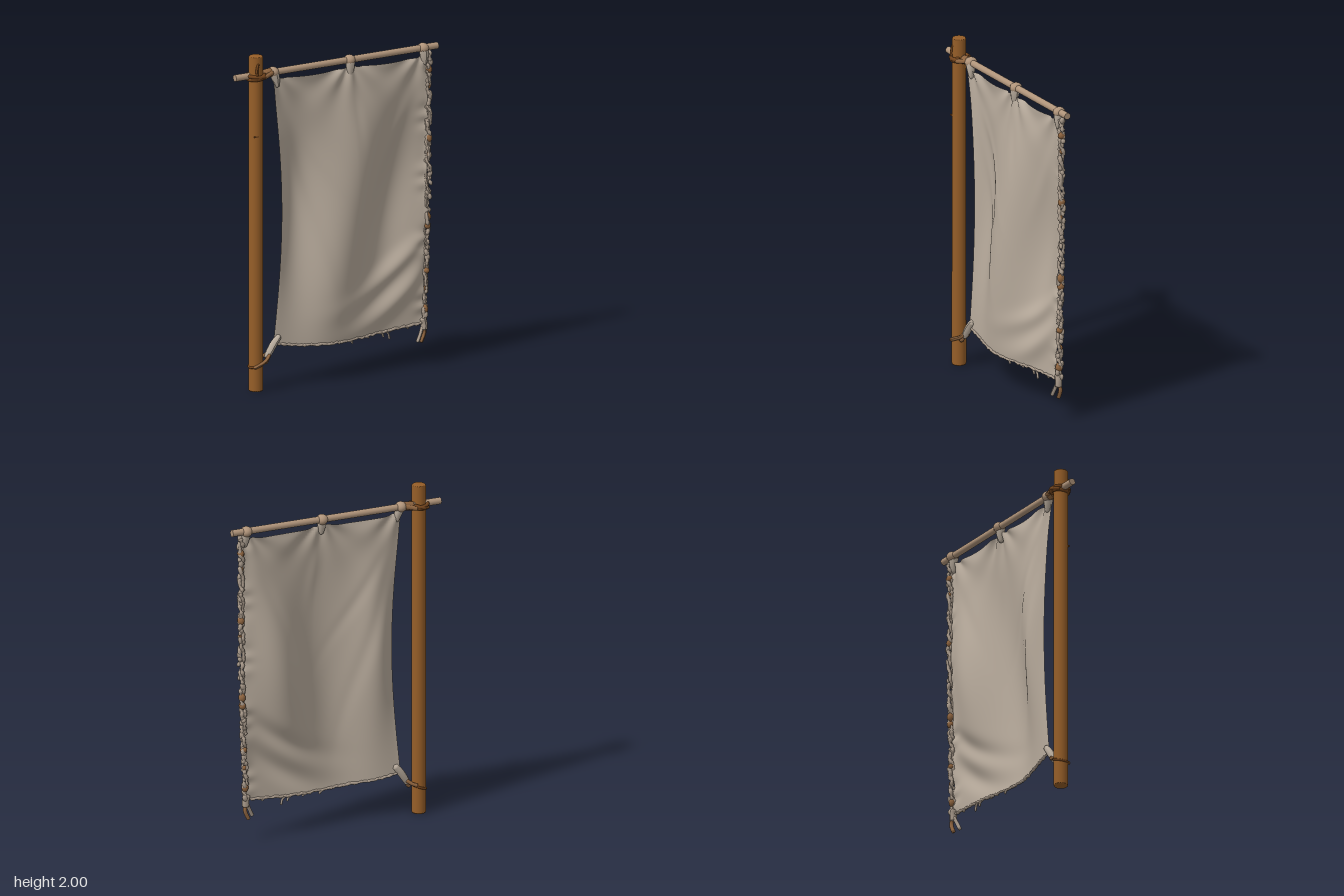
import * as THREE from 'three';

const mat = (name, color, side = THREE.FrontSide) => {
  const m = new THREE.MeshStandardMaterial({ color, side });
  m.name = name;
  return m;
};
const V = (x, y, z) => new THREE.Vector3(x, y, z);
const gauss = (d, w) => Math.exp(-(d * d) / (w * w));
const lerp = THREE.MathUtils.lerp;

function seeded(seed) {
  return () => {
    seed = (seed * 16807) % 2147483647;
    return seed / 2147483647;
  };
}

// Distance of (x, y) from the line through (x0, y0) and (x1, y1)
function lineDistance(x, y, x0, y0, x1, y1) {
  const dx = x1 - x0, dy = y1 - y0;
  return ((x - x0) * dy - (y - y0) * dx) / Math.hypot(dx, dy);
}

// Cloth outline and folds: u runs left edge to right edge, v bottom to top
const TIES = [-0.42, 0.09, 0.58];
function clothPoint(u, v) {
  const left = -0.422 - 0.008 * v + 0.06 * Math.sin(Math.PI * v);
  const right = 0.572 + 0.03 * Math.sin(Math.min(1, v * 1.3) * Math.PI / 2);
  const bottom = 0.262 - 0.036 * Math.sin(Math.PI * Math.pow(u, 0.8)) - 0.008 * u;
  const top = 1.858 - 0.024 * Math.sqrt(Math.abs(Math.sin(2 * Math.PI * u)));
  const x = lerp(left, right, u), y = lerp(bottom, top, v);

  const fade = Math.pow(Math.max(0, Math.sin(Math.PI * u)), 0.5);
  const hang = Math.pow(Math.max(0, Math.sin(Math.PI * (0.12 + 0.88 * v))), 0.75);
  const lean = 0.2 * (y - 1);
  // Broad billows: forward in the middle, back toward the right
  let z = 0.09 * gauss(x - 0.05 - lean, 0.23) * (1.05 - 0.4 * v);
  z -= 0.09 * gauss(x - 0.4 - lean, 0.18) * gauss(y - 1.1, 0.55);
  // Creases fanning from the upper left and upper right ties
  z += 0.012 * gauss(lineDistance(x, y, -0.42, 1.82, -0.05, 1.2), 0.035) * gauss(y - 1.5, 0.3);
  z += 0.014 * gauss(lineDistance(x, y, -0.41, 1.8, -0.13, 0.8), 0.04) * gauss(y - 1.2, 0.45);
  z += 0.012 * gauss(lineDistance(x, y, 0.58, 1.82, 0.3, 1.2), 0.04) * gauss(y - 1.5, 0.28);
  z -= 0.012 * gauss(lineDistance(x, y, 0.09, 1.82, 0.16, 1.3), 0.035) * gauss(y - 1.65, 0.2);
  // Sweeping folds at the lower right
  const s = y - 0.3 - 0.5 * (x - 0.2) - 0.6 * (x - 0.2) ** 2;
  const low = gauss(x - 0.42, 0.32);
  z += low * (0.062 * gauss(s, 0.08) + 0.04 * gauss(s - 0.19, 0.065));
  z = z * fade * hang - 0.006;
  // Hollow just inside the left edge, which itself stays taut
  z -= 0.058 * gauss(x + 0.26, 0.13) * gauss(y - 1.05, 0.52) * (1 - Math.exp(-u / 0.045));
  // Gathers radiating from each tie
  for (const t of TIES) {
    const dx = x - t, dy = 1.9 - y, d = Math.hypot(dx, dy);
    z += 0.016 * Math.exp(-d / 0.17) * Math.cos(Math.atan2(dx, dy) * 9) * Math.min(1, d / 0.08);
  }
  // Small puckers along the right edge
  z += 0.005 * gauss(u - 1, 0.05) * Math.sin(y * 43 + 2 * Math.sin(y * 17));
  return V(x, y, z);
}

function clothGeometry() {
  const g = new THREE.PlaneGeometry(1, 1, 90, 120);
  const p = g.attributes.position;
  for (let i = 0; i < p.count; i++) {
    const q = clothPoint(p.getX(i) + 0.5, p.getY(i) + 0.5);
    p.setXYZ(i, q.x, q.y, q.z);
  }
  g.computeVertexNormals();
  return g;
}

// Tube with a radius that varies along its length and closed, tapered ends
function ropeGeometry(points, radius, segments = 16, vary = () => 1) {
  const curve = new THREE.CatmullRomCurve3(points);
  const g = new THREE.TubeGeometry(curve, segments, radius, 8);
  const p = g.attributes.position, q = V(0, 0, 0);
  for (let i = 0; i <= segments; i++) {
    const c = curve.getPointAt(i / segments);
    const k = i === 0 || i === segments ? 0.02 : vary(i / segments);
    for (let j = 0; j <= 8; j++) {
      const n = i * 9 + j;
      q.fromBufferAttribute(p, n).sub(c).multiplyScalar(k).add(c);
      p.setXYZ(n, q.x, q.y, q.z);
    }
  }
  g.computeVertexNormals();
  return g;
}

export function createModel() {
  const model = new THREE.Group();
  model.name = 'clothBanner';
  const wood = mat('poleWood', 0x965e28);
  const pale = mat('paleWood', 0xb0947a);
  const cloth = mat('cloth', 0xb9ac9d, THREE.DoubleSide);
  const fray = mat('frayedThread', 0xa99a8b);
  const lash = mat('darkLashing', 0x71431c);
  const cord = mat('cord', 0x8f6540);
  const rand = seeded(4217);

  const add = (name, geometry, material, x = 0, y = 0, z = 0) => {
    const m = new THREE.Mesh(geometry, material);
    m.name = name;
    m.position.set(x, y, z);
    model.add(m);
    return m;
  };
  const rope = (name, pts, r, material, seg, vary) =>
    add(name, ropeGeometry(pts.map(a => V(...a)), r, seg, vary), material);

  // Upright pole with a bevelled rim
  const PX = -0.54, PZ = -0.005;
  add('pole', new THREE.LatheGeometry([[0, 0], [0.039, 0], [0.042, 0.006],
    [0.041, 1.994], [0.037, 2], [0, 2]].map(a => new THREE.Vector2(...a)), 24), wood, PX, 0, PZ);
  add('poleNotch', new THREE.BoxGeometry(0.03, 0.008, 0.008), lash, PX - 0.015, 1.525, PZ + 0.037);

  // Crossbar, very slightly raised toward its free end
  const bar = add('crossbar', new THREE.CylinderGeometry(0.02, 0.02, 1.35, 16), pale, 0, 1.887, -0.014);
  bar.rotation.z = -Math.PI / 2 + 0.009;

  // Lashing where the bar meets the pole
  [[1.868, 0.05, 0.1], [1.88, 0.054, -0.08]].forEach(([y, r, tilt]) => {
    const ring = add('poleLashing', new THREE.TorusGeometry(r, 0.011, 8, 20), lash, PX + 0.005, y, -0.01);
    ring.rotation.set(Math.PI / 2, tilt, 0);
  });
  rope('lashingEnd', [[PX - 0.012, 1.87, 0.04], [PX - 0.016, 1.92, 0.036], [PX - 0.005, 1.962, 0.033]], 0.008, lash);
  for (const s of [-1, 1]) {
    const z = d => -0.012 + s * d;
    rope('crossLashing', [[PX - 0.048, 1.865, z(0.03)], [PX, 1.875, z(0.056)], [PX + 0.05, 1.89, z(0.03)]], 0.01, lash);
    rope('lashingTail', [[PX + 0.03, 1.872, z(0.046)], [-0.48, 1.877, z(0.034)], [-0.43, 1.888, z(0.016)]], 0.014, cord);
  }
  rope('lashingBand', [[-0.5, 1.875, -0.014], [-0.46, 1.882, -0.014], [-0.43, 1.886, -0.014]], 0.028, cord, 12);

  // Cloth sheet
  add('clothSheet', clothGeometry(), cloth);

  // Knotted loops over the bar, gathered down into the cloth
  TIES.forEach((x, i) => {
    const loop = add('tieLoop', new THREE.SphereGeometry(0.037, 16, 12), pale, x, 1.884 + i * 0.003, -0.014);
    loop.scale.set(0.9, 0.85, 1);
    const lean = [0.024, 0, 0.006][i];
    rope('tieGather', [[x, 1.888, -0.008], [x + lean * 0.5, 1.85, -0.006],
      [x + lean, 1.79, -0.002]], 0.029, cloth, 14, t => 1 - 0.7 * t * t);
  });

  // Frayed right edge: two lumpy wandering strands
  const edge = v => clothPoint(1, v);
  for (let k = 0; k < 2; k++) {
    const pts = [];
    for (let i = 0; i <= 60; i++) {
      const q = edge(i / 60), a = i * 0.75 + k * Math.PI + 2 * rand();
      pts.push([q.x + 0.01 + 0.011 * Math.cos(a), q.y, -0.01 + 0.012 * Math.sin(a)]);
    }
    rope('frayedEdge', pts, 0.01, fray, 220, () => 0.6 + 0.8 * rand());
  }
  // Clumps and stained knots on that edge
  for (let i = 0; i < 44; i++) {
    const q = edge((i + rand()) / 44);
    const stained = i % 11 === 5;
    const clump = add(stained ? 'edgeKnot' : 'edgeClump', new THREE.IcosahedronGeometry(0.014, 1),
      stained ? cord : fray, q.x + 0.008 + 0.016 * rand(), q.y, -0.01 + 0.022 * (rand() - 0.5));
    clump.scale.set(0.8 + 0.3 * rand(), 1 + 0.9 * rand(), 0.8 + 0.3 * rand());
    clump.rotation.z = rand() - 0.5;
  }
  [1.76, 1.35, 0.88, 0.83, 0.56, 0.33].forEach(y => {
    const q = edge((y - 0.25) / 1.6);
    const stain = add('edgeStain', new THREE.SphereGeometry(0.024, 10, 8), cord, q.x + 0.013, y, -0.01);
    stain.scale.set(0.85, 0.8 + 0.5 * rand(), 0.95);
  });

  // Rolled, ragged bottom hem with hanging threads
  const hem = [];
  for (let i = 0; i <= 50; i++) {
    const q = clothPoint(i / 50, 0);
    hem.push([q.x, q.y + 0.008 * (rand() - 0.5), q.z]);
  }
  rope('bottomHem', hem, 0.008, fray, 160, () => 0.7 + 0.6 * rand());
  [[0.51, 0.025], [0.735, 0.035], [0.775, 0.055], [0.63, 0.018], [0.9, 0.02]].forEach(([u, len]) => {
    const q = clothPoint(u, 0);
    rope('hemThread', [[q.x - 0.025, q.y, q.z], [q.x - 0.004, q.y - len * 0.35, q.z],
      [q.x + 0.004, q.y - len, q.z]], 0.007, fray, 8);
  });

  // Forked tassel at the lower right corner
  rope('tasselKnot', [[0.572, 0.285, -0.008], [0.582, 0.25, -0.008], [0.582, 0.205, -0.008]], 0.021, fray, 12);
  rope('tasselStrand', [[0.575, 0.235, -0.01], [0.555, 0.19, 0], [0.53, 0.14, 0.006]], 0.011, fray);
  rope('tasselStrand', [[0.582, 0.23, -0.01], [0.59, 0.19, -0.016], [0.565, 0.13, -0.016]], 0.012, cord);

  // Lower left corner tied back to the pole
  rope('cornerGather', [[-0.38, 0.31, -0.004], [-0.415, 0.27, -0.004], [-0.45, 0.22, -0.002],
    [-0.475, 0.18, 0]], 0.02, cloth, 16, t => 0.4 + 0.7 * Math.sin(Math.PI * Math.min(1, 0.2 + t * 0.6)));
  rope('cornerCord', [[-0.455, 0.21, 0.012], [-0.48, 0.185, 0.024], [-0.515, 0.168, 0.038],
    [-0.575, 0.142, 0.03]], 0.011, cord);
  rope('cornerCord', [[-0.455, 0.21, -0.015], [-0.48, 0.19, -0.03], [-0.515, 0.175, -0.045]], 0.011, cord);
  rope('cornerCordEnd', [[-0.465, 0.2, 0.005], [-0.475, 0.175, 0.01], [-0.492, 0.158, 0.012]], 0.013, cord, 8);
  const lower = add('lowerLashing', new THREE.TorusGeometry(0.043, 0.007, 8, 20), lash, PX, 0.158, PZ);
  lower.rotation.set(Math.PI / 2, 0.35, 0);

  return model;
}
